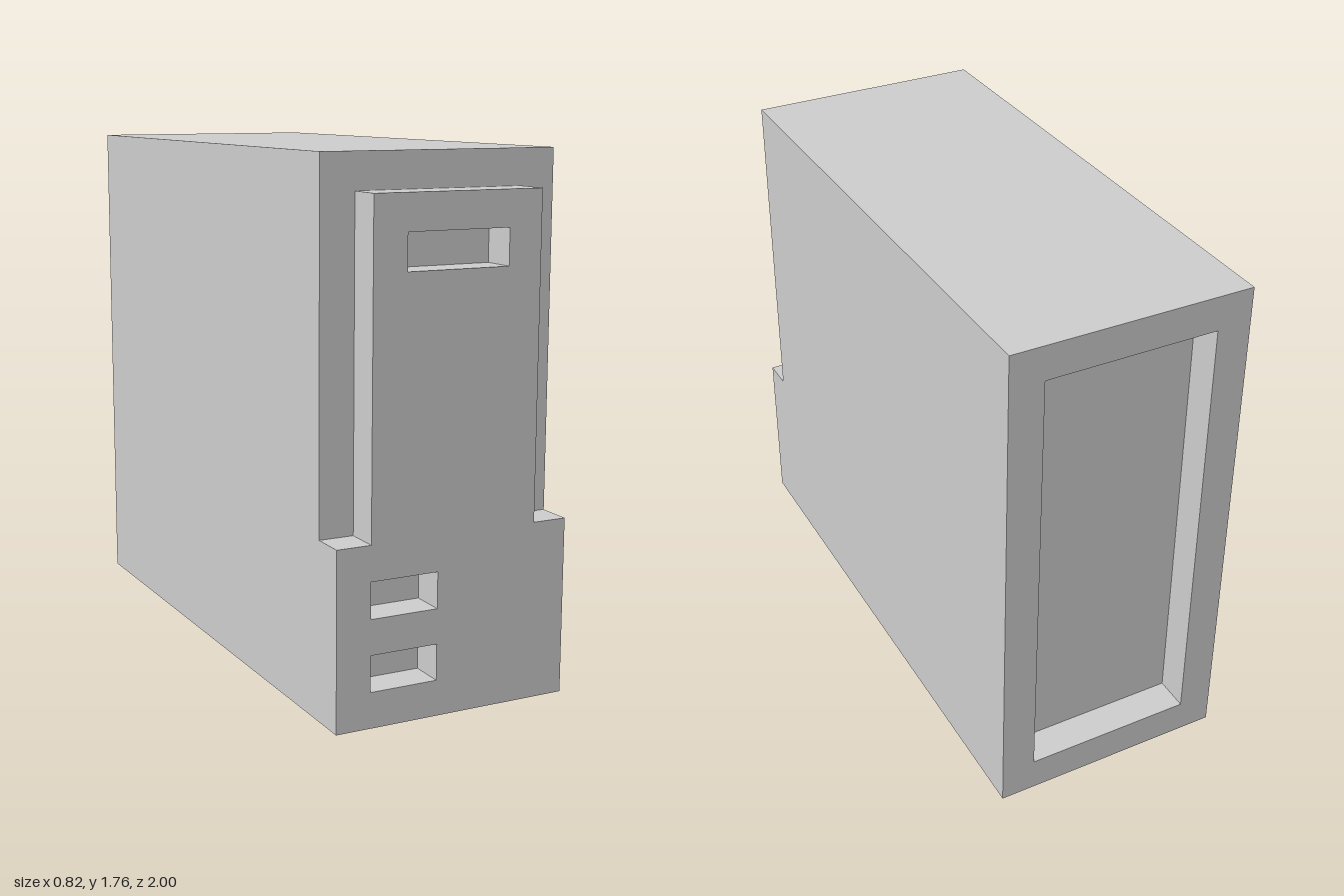
import * as THREE from 'three';

const W = 0.412, H = 1.765, D = 0.118; // half width, height, panel depth

// Rectangular path from corner to corner
function rect(PathType, x0, y0, x1, y1) {
  return new PathType([[x0, y0], [x1, y0], [x1, y1], [x0, y1]].map(([x, y]) => new THREE.Vector2(x, y)));
}

export function createModel() {
  const group = new THREE.Group();
  const material = new THREE.MeshStandardMaterial({ color: 0xcccccc, flatShading: true });

  const add = (name, geometry, x, y, z) => {
    const mesh = new THREE.Mesh(geometry, material);
    mesh.name = name;
    mesh.position.set(x, y, z);
    group.add(mesh);
  };
  const extrude = (shape) => new THREE.ExtrudeGeometry(shape, { depth: D, bevelEnabled: false });

  // Main case
  add('case', new THREE.BoxGeometry(2 * W, H, 2 - 2 * D), 0, H / 2, 0);

  // Stepped front panel with three slots cut through to the case
  const front = new THREE.Shape([
    [-W, 0], [W, 0], [W, 0.588], [0.294, 0.588],
    [0.294, 1.647], [-0.294, 1.647], [-0.294, 0.588], [-W, 0.588],
  ].map(([x, y]) => new THREE.Vector2(x, y)));
  front.holes.push(
    rect(THREE.Path, -0.178, 1.412, 0.178, 1.53),
    rect(THREE.Path, -0.294, 0.353, -0.059, 0.472),
    rect(THREE.Path, -0.294, 0.118, -0.059, 0.237),
  );
  add('frontPanel', extrude(front), 0, 0, 1 - D);

  // Rim around the recessed back
  const rim = rect(THREE.Shape, -W, 0, W, H);
  rim.holes.push(rect(THREE.Path, -0.294, 0.118, 0.294, 1.647));
  add('backRim', extrude(rim), 0, 0, -1);

  return group;
}
